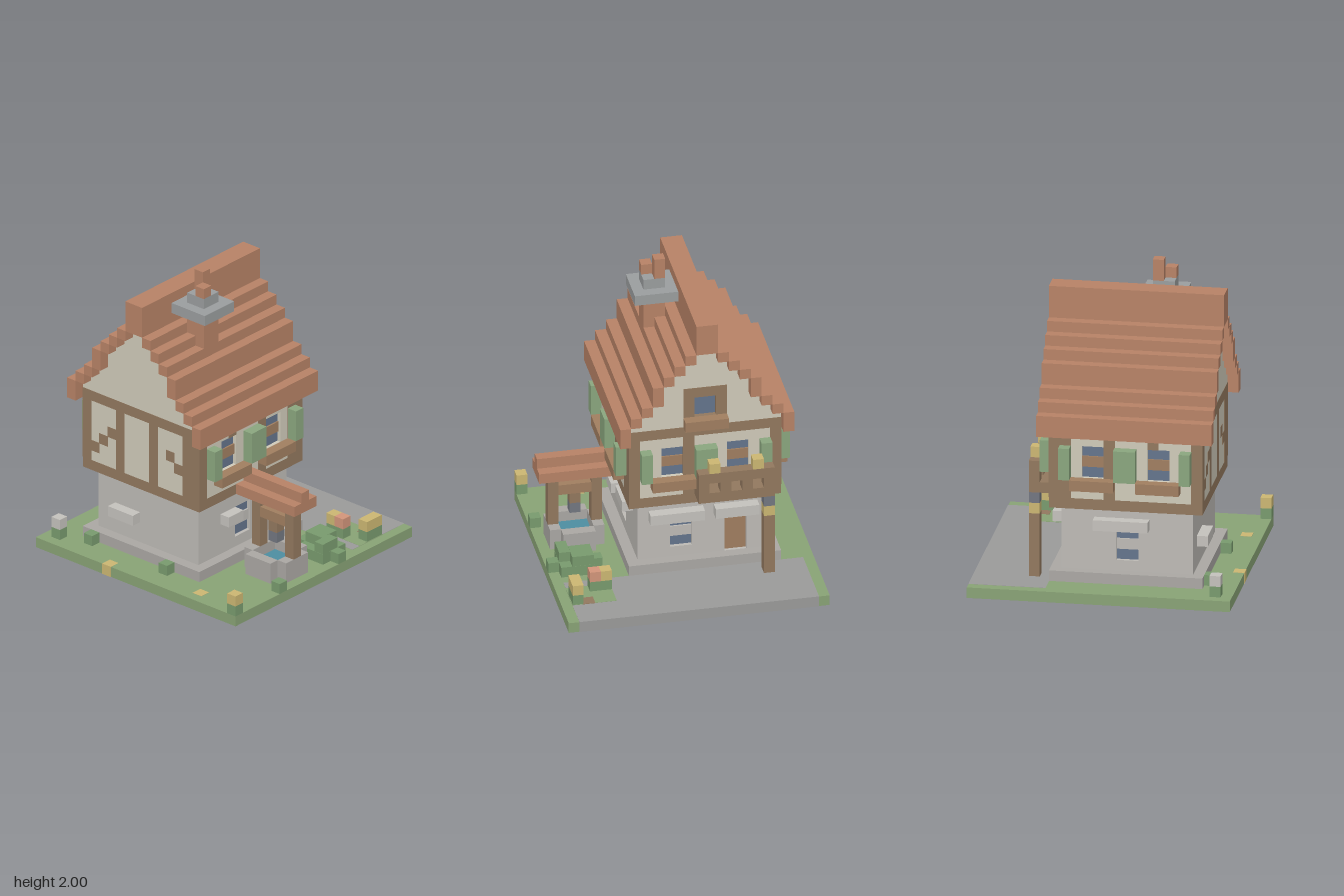
import * as THREE from 'three';

// Everything is laid out on a 24 x 29 x 24 grid of cubes, then scaled.
const U = 2 / 29;
const C = {
  stone: 0xbdbab5, stoneLight: 0xc4c1bc, base: 0xaaa7a3, path: 0x9a9a99, plaster: 0xcfcab9,
  timber: 0x92785e, plank: 0xa07e60, roof: 0xb78266, grass: 0x88a275, leaf: 0x789a6d,
  shutter: 0x8aa67e, glass: 0x64748c, yellow: 0xcbb672, pink: 0xd2957a, water: 0x4d8da0,
  cap: 0x9a9d9e, iron: 0x727680,
};

export function createModel() {
  const root = new THREE.Group();
  root.name = 'cottage';
  const grid = new THREE.Group();
  grid.name = 'cottageParts';
  grid.scale.setScalar(U);
  grid.position.set(-12 * U, 0, -12 * U);
  root.add(grid);

  const mats = {};
  const mat = (c) => (mats[c] ??= new THREE.MeshStandardMaterial({ color: C[c], flatShading: true }));
  const add = (name, color, geo) => {
    const m = new THREE.Mesh(geo, mat(color));
    m.name = name;
    grid.add(m);
    return m;
  };
  // Box between two grid corners; g grows it slightly over flush neighbours
  const box = (name, color, x0, x1, y0, y1, z0, z1, g = 0) =>
    add(name, color, new THREE.BoxGeometry(x1 - x0 + g, y1 - y0 + g, z1 - z0 + g))
      .position.set((x0 + x1) / 2, (y0 + y1) / 2, (z0 + z1) / 2);
  const T = 0.04; // overlap for flush details
  const S = 0.06; // thickness of hollow shells
  const rect = (a, b, c, d) => [[a, c], [b, c], [b, d], [a, d]];
  const slab = (pts, holes, depth) => {
    const v = (l) => l.map(([x, y]) => new THREE.Vector2(x, y));
    const s = new THREE.Shape(v(pts));
    holes.forEach((h) => s.holes.push(new THREE.Path(v(h))));
    return new THREE.ExtrudeGeometry(s, { depth, bevelEnabled: false });
  };
  // Walls facing z or x, and flat slabs seen in plan
  const wallZ = (name, color, pts, holes, z, d = 1) => { add(name, color, slab(pts, holes, d)).position.z = z; };
  const wallX = (name, color, pts, holes, x, d = 1) => {
    add(name, color, slab(pts, holes, d).rotateY(-Math.PI / 2)).position.x = x + d;
  };
  const plan = (name, color, pts, holes, y0, y1) => {
    add(name, color, slab(pts, holes, y1 - y0).rotateX(Math.PI / 2)).position.y = y1;
  };
  // Rectangular ring, n cubes wide
  const ring = (name, color, a, b, c, d, n, y0, y1) =>
    plan(name, color, rect(a, b, c, d), [rect(a + n, b - n, c + n, d - n)], y0, y1);

  // Ground is an open-bottomed tray with openings under house and well
  const wellOutline = [[19, 12], [22, 12], [22, 13], [23, 13], [23, 16], [22, 16], [22, 17], [19, 17], [19, 16], [18, 16], [18, 13], [19, 13]];
  plan('ground', 'grass', rect(0, 24, 0, 24), [rect(3, 17, 7, 21), wellOutline], 1 - S, 1);
  ring('groundRim', 'grass', 0, 24, 0, 24, S, 0, 1);
  box('path', 'path', 1, 23, 1 - S, 1, 0, 7, T);
  box('pathEdge', 'path', 1, 23, 0, 1, 0, S, T);
  box('flowerBed', 'grass', 19, 23, 1 - S, 1, 3, 6, 2 * T);
  box('bedSoil', 'timber', 21, 22, 1 - S, 1, 3, 4, 3 * T);
  box('fallenPetals', 'yellow', 8, 9, 1 - S, 1, 23, 24, T);
  box('fallenPetals', 'yellow', 8, 9, 0, 1, 24 - S, 24, T);
  box('fallenPetals', 'yellow', 18, 19, 1 - S, 1, 22, 23, T);

  // Ground floor: foundation step and hollow stone walls
  ring('foundationTop', 'base', 3, 17, 7, 21, 1, 2 - S, 2);
  ring('foundationSide', 'base', 3, 17, 7, 21, S, 1, 2);
  const sideWindow = rect(13, 15, 3, 6), backDoor = rect(6, 8, 2, 6), backWindow = rect(11, 13, 3, 6);
  wallZ('frontStoneWall', 'stone', rect(4, 16, 2 - S, 9), [], 20 - S, S);
  wallZ('backStoneWall', 'stone', rect(4, 16, 2 - S, 9), [backDoor, backWindow], 8, S);
  for (const x of [4, 15]) {
    wallX('sideStoneWall', 'stone', rect(8, 20, 2 - S, 9), [sideWindow], x === 4 ? 4 : 16 - S, S);
    wallX('windowReveal', 'stone', rect(12.9, 15.1, 2.9, 6.1), [sideWindow], x + 0.02, 0.96);
    box('lowerWindowGlass', 'glass', x + 0.35, x + 0.65, 3, 6, 13, 15);
    box('lowerWindowBar', 'stone', x + 0.2, x + 0.8, 4, 5, 13, 15);
  }
  wallZ('windowReveal', 'stone', rect(10.9, 13.1, 2.9, 6.1), [backWindow], 8.02, 0.96);
  wallZ('doorReveal', 'stone', rect(5.9, 8.1, 1.95, 6.1), [backDoor], 8.02, 0.96);
  box('lowerWindowGlass', 'glass', 11, 13, 3, 6, 8.35, 8.65);
  box('lowerWindowBar', 'stone', 11, 13, 4, 5, 8.2, 8.8);
  box('door', 'plank', 6, 8, 2, 6, 8.3, 8.7);
  box('lintel', 'stoneLight', 10, 15, 6, 7, 7, 8);
  box('doorLintel', 'stoneLight', 5, 9, 6, 7, 7, 8);
  box('lintel', 'stoneLight', 3, 4, 6, 7, 11, 16);
  box('lintel', 'stoneLight', 16, 17, 6, 7, 10, 13);
  box('jambStone', 'stoneLight', 16, 17, 5, 6, 15, 17);
  box('wallStone', 'stoneLight', 6, 9, 4, 5, 20, 21);
  box('ceiling', 'path', 4, 16, 9 - S, 9, 8, 20);

  // Upper floor: overhanging plaster walls with timber framing
  const pair = (a, b) => [rect(a, a + 2, 11, 14), rect(b, b + 2, 11, 14)];
  ring('floorBeam', 'timber', 3, 17, 7, 21, 1, 8, 9);
  wallZ('frontPlaster', 'plaster', rect(3, 17, 9, 16), [], 20);
  wallZ('backPlaster', 'plaster', rect(3, 17, 9, 16), pair(6, 12), 7);
  for (const x of [3, 16]) wallX('sidePlaster', 'plaster', rect(8, 20, 9, 16), pair(10, 16), x);
  ring('topBeam', 'timber', 2.98, 17.02, 6.98, 21.02, 1, 15, 16);
  for (const x of [3, 7, 11, 15, 16]) box('timberPost', 'timber', x, x + 1, 9, 15, 20, 21, T);
  for (const x of [3, 11, 16]) box('timberPost', 'timber', x, x + 1, 9, 15, 7, 8, T);
  for (const x of [3, 16]) {
    for (const z of [8, 12]) box('timberPost', 'timber', x, x + 1, 9, 15, z, z + 1, T);
    box('shortPost', 'timber', x, x + 1, 14, 15, 16, 17, T);
  }
  for (const [x, y] of [[4, 10], [5, 11], [6, 12], [13, 12], [14, 11]])
    box('timberBrace', 'timber', x, x + 1, y, y + 1, 20, 21, T);

  // Upper windows with sills and shutters
  for (const [wx, ox] of [[3, 2], [16, 17]]) {
    for (const z of [10, 16]) {
      box('windowGlass', 'glass', wx + 0.35, wx + 0.65, 11, 14, z, z + 2);
      box('windowBar', 'plank', wx + 0.2, wx + 0.8, 12, 13, z, z + 2);
      box('windowSill', 'plank', ox, ox + 1, 10, 11, z - 1, z + 3);
      for (const d of [-2, 3]) box('shutter', 'shutter', ox, ox + 1, 11, 14, z + d, z + d + 1);
    }
  }
  for (const x of [6, 12]) {
    box('windowGlass', 'glass', x, x + 2, 11, 14, 7.35, 7.65);
    box('windowBar', 'plank', x, x + 2, 12, 13, 7.2, 7.8);
    for (const d of [-2, 3]) box('shutter', 'shutter', x + d, x + d + 1, 11, 14, 6, 7);
  }
  box('windowSill', 'plank', 11, 15, 10, 11, 6, 7);

  // Stepped roof, mirrored about the ridge
  const tops = [17, 18, 19, 21, 22, 23, 24];
  tops.forEach((top, i) => {
    const low = i ? tops[i - 1] : 16;
    for (const x of [2 + i, 17 - i]) box('roofStep', 'roof', x, x + 1, low, top, 6, 22);
  });
  for (const x of [2, 17]) box('eave', 'roof', x, x + 1, 15, 16, 6, 22);
  box('ridge', 'roof', 9, 11, 24, 27, 6, 22);

  // Gable ends follow the underside of the roof steps
  const left = [];
  tops.forEach((top, i) => left.push([3 + i, i ? tops[i - 1] : 16], [3 + i, top]));
  const gable = [...left, ...left.map(([x, y]) => [20 - x, y]).reverse()];
  const gableWindow = rect(9, 11, 17, 19);
  wallZ('frontGable', 'plaster', gable, [], 20);
  wallZ('backGable', 'plaster', gable, [gableWindow], 7);
  box('gableWindowSill', 'plank', 8, 12, 16, 17, 6, 7);
  wallZ('gableWindowFrame', 'timber', rect(8, 12, 16, 20), [gableWindow], 6.97);
  box('gableWindowGlass', 'glass', 9, 11, 17, 19, 7.4, 7.7);

  // Chimney with slab and two pots
  box('chimneyStack', 'roof', 12, 14, 20, 25, 15, 17);
  box('chimneySlab', 'cap', 11, 15, 25, 26, 14, 18);
  box('chimneyCap', 'cap', 12, 14, 26, 27, 15, 17);
  box('chimneyPot', 'roof', 12, 13, 27, 29, 15, 16);
  box('chimneyPot', 'roof', 13, 14, 27, 28, 16, 17);

  // Back balcony with railing, flowers and a lantern post
  box('balconyFloor', 'timber', 4, 11, 9, 10, 5, 7);
  box('balconyRail', 'timber', 4, 11, 11, 12, 5, 6);
  for (const x of [4, 6, 8, 10]) box('baluster', 'timber', x, x + 1, 10, 11, 5, 6);
  for (const x of [5, 9]) box('balconyFlower', 'yellow', x, x + 1, 12, 13, 5, 6);
  box('balconyPost', 'timber', 4, 5, 1, 7, 5, 6);
  box('lantern', 'yellow', 4, 5, 7, 8, 5, 6);
  box('lanternTop', 'iron', 4, 5, 8, 9, 5, 6);

  // Well with small roof and bucket
  plan('wellWall', 'base', wellOutline, [rect(19, 22, 13, 16)], 1 - S, 3);
  box('wellWater', 'water', 19, 22, 2 - S, 2, 13, 16);
  for (const x of [18, 22]) box('wellPost', 'timber', x, x + 1, 3, 8, 14, 15);
  box('wellCrossbar', 'plank', 19, 22, 6, 7, 14, 15);
  box('bucketHandle', 'timber', 20, 21, 5, 6, 14, 15);
  box('bucket', 'iron', 20, 21, 4, 5, 14, 15);
  box('wellRoof', 'roof', 17, 24, 8, 9, 13, 16);
  box('wellRoofRidge', 'roof', 17, 24, 9, 10, 14, 15);

  // Bush, flowers and grass tufts
  box('bushBase', 'leaf', 19, 24, 1, 2, 9, 10);
  box('bushBody', 'leaf', 20, 23, 1, 2, 8, 11, T);
  box('bushTop', 'leaf', 20, 22, 2, 3, 8, 10);
  box('bushTop', 'leaf', 22, 23, 2, 2.98, 9, 11);
  const blooms = [[19, 5, 'yellow'], [20, 5, 'pink'], [22, 3, 'yellow'], [22, 4, 'yellow'], [1, 22, 'stoneLight'], [23, 23, 'yellow']];
  for (const [x, z, c] of blooms) {
    box('flowerStem', 'leaf', x, x + 1, 1, 2, z, z + 1);
    box('flower', c, x, x + 1, 2, 3, z, z + 1);
  }
  for (const [x, z] of [[4, 21], [13, 21], [23, 17]]) box('grassTuft', 'leaf', x, x + 1, 1, 2, z, z + 1);

  return root;
}
